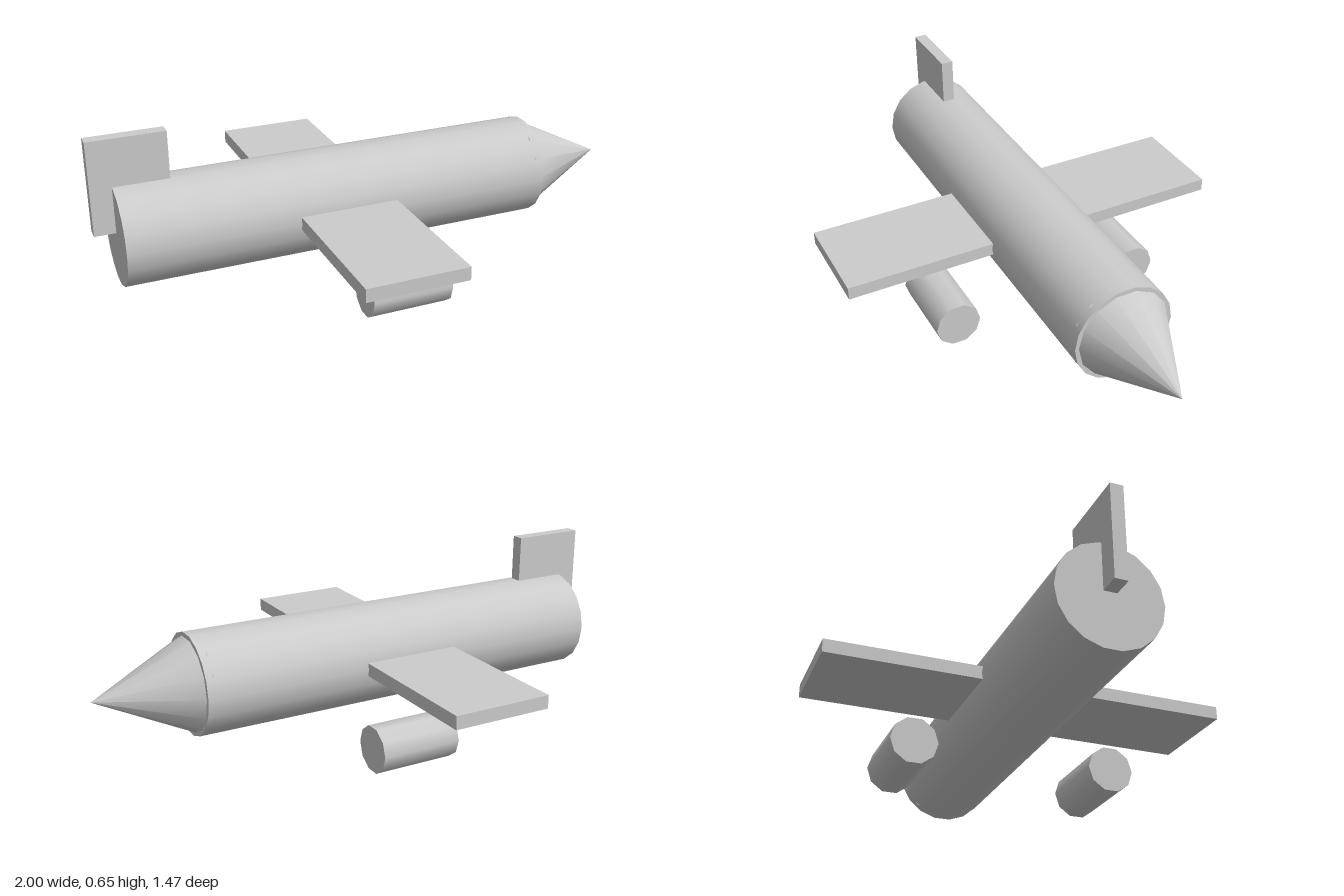
import * as THREE from 'three';

const material = new THREE.MeshStandardMaterial({ color: 0xcccccc });

function add(group, name, geometry, x, y, z) {
  const mesh = new THREE.Mesh(geometry, material);
  mesh.name = name;
  mesh.position.set(x, y, z);
  group.add(mesh);
}

// Cylinder or cone lying along x, with its top end towards +x
function tubeX(rTop, rBottom, length, sides) {
  return new THREE.CylinderGeometry(rTop, rBottom, length, sides).rotateZ(-Math.PI / 2);
}

export function createModel() {
  const plane = new THREE.Group();
  plane.name = 'airplane';
  const axisY = 0.297;

  // Body and pointed nose, whose base sits just inside the body
  add(plane, 'fuselage', tubeX(0.184, 0.184, 1.584, 18), -0.133, axisY, 0);
  add(plane, 'noseCone', new THREE.ConeGeometry(0.184, 0.37, 14).rotateZ(-Math.PI / 2), 0.815, axisY, 0);

  // One slab through the body forms both wings
  add(plane, 'wings', new THREE.BoxGeometry(0.365, 0.048, 1.465), -0.133, axisY, 0);
  add(plane, 'tailFin', new THREE.BoxGeometry(0.273, 0.34, 0.046), -0.8635, 0.48, 0);

  // Engines hanging below the wings
  for (const side of [1, -1]) {
    add(plane, side > 0 ? 'frontEngine' : 'backEngine', tubeX(0.0855, 0.0855, 0.3, 10), -0.01, 0.0815, side * 0.367);
  }
  return plane;
}
